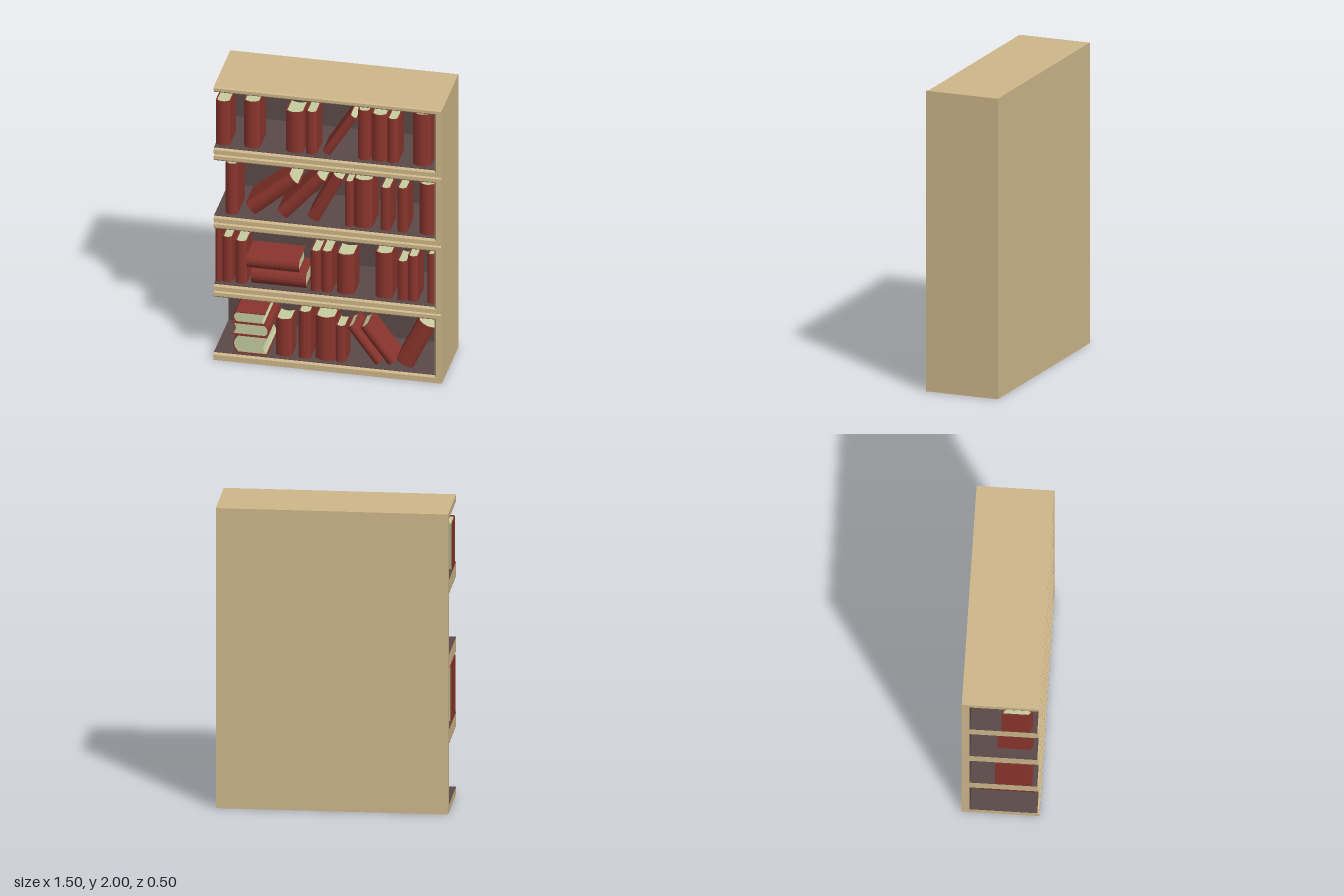
import * as THREE from 'three';

const wood = new THREE.MeshStandardMaterial({ name: 'wood', color: 0xcfb78a });
const lining = new THREE.MeshStandardMaterial({ name: 'darkLining', color: 0x5a4a49 });
const red = new THREE.MeshStandardMaterial({ name: 'redCover', color: 0x8a352d });
const paper = new THREE.MeshStandardMaterial({ name: 'paper', color: 0xc6ce9f });

const BAYS = [0, 0.5, 1, 1.5];

function add(parent, name, geometry, material) {
  const mesh = new THREE.Mesh(geometry, material);
  mesh.name = name;
  parent.add(mesh);
  return mesh;
}

// Box given by its two opposite corners
function block(parent, name, material, x0, x1, y0, y1, z0, z1) {
  const g = new THREE.BoxGeometry(x1 - x0, y1 - y0, z1 - z0);
  g.translate((x0 + x1) / 2, (y0 + y1) / 2, (z0 + z1) / 2);
  return add(parent, name, g, material);
}

function polygon(points) {
  return new THREE.Shape(points.map(([a, b]) => new THREE.Vector2(a, b)));
}

// Shelf board: a (z, y) profile with a moulded front edge, run along x
function board(parent, name, points) {
  const g = new THREE.ExtrudeGeometry(polygon(points), { depth: 1.495, bevelEnabled: false });
  g.rotateY(-Math.PI / 2).translate(0.745, 0, 0);
  add(parent, name, g, wood);
}

// Plan shape (x, z) raised to a height, standing on y = 0
function raise(shape, height) {
  const g = new THREE.ExtrudeGeometry(shape, { depth: height, bevelEnabled: false, curveSegments: 6 });
  return g.rotateX(Math.PI / 2).translate(0, height, 0);
}

// Book standing on its bottom edge, with the rounded spine at z = 0 facing +z
function makeBook(t, h, d = 0.62 * h) {
  const book = new THREE.Group();
  book.name = 'book';
  const c = 0.006, bulge = 0.22 * t, w = t / 2, i = w - c;

  const cover = new THREE.Shape();
  cover.moveTo(-w, -d);
  cover.lineTo(-i, -d);
  cover.lineTo(-i, -bulge - c);
  cover.quadraticCurveTo(0, bulge - c, i, -bulge - c);
  cover.lineTo(i, -d);
  cover.lineTo(w, -d);
  cover.lineTo(w, -bulge);
  cover.quadraticCurveTo(0, bulge, -w, -bulge);
  add(book, 'cover', raise(cover, h), red);

  // Page block with a hollow fore edge
  const pages = new THREE.Shape();
  pages.moveTo(-i, -d + 0.008);
  pages.quadraticCurveTo(0, -d + 0.008 + bulge * 1.6, i, -d + 0.008);
  pages.lineTo(i, -bulge - c);
  pages.quadraticCurveTo(0, bulge - c, -i, -bulge - c);
  add(book, 'pages', raise(pages, h - 0.016).translate(0, 0.008, 0), paper);
  return book;
}

// Upright books per bay: left x, right x, height
const UPRIGHT = [
  [[-0.355, -0.25, 0.27], [-0.205, -0.125, 0.34], [-0.095, 0.035, 0.315], [0.04, 0.105, 0.265]],
  [[-0.75, -0.71, 0.39], [-0.705, -0.64, 0.33], [-0.62, -0.545, 0.31], [-0.125, -0.06, 0.295],
    [-0.055, 0.015, 0.3], [0.045, 0.16, 0.29], [0.3, 0.41, 0.33], [0.445, 0.51, 0.285],
    [0.515, 0.58, 0.33], [0.645, 0.69, 0.36]],
  [[-0.685, -0.605, 0.37], [0.1, 0.155, 0.33], [0.157, 0.28, 0.35], [0.335, 0.4, 0.31],
    [0.445, 0.51, 0.32], [0.59, 0.69, 0.365]],
  [[-0.75, -0.655, 0.32], [-0.565, -0.46, 0.34], [-0.29, -0.175, 0.295], [-0.155, -0.085, 0.31],
    [0.185, 0.265, 0.36], [0.275, 0.375, 0.34], [0.38, 0.45, 0.32], [0.545, 0.665, 0.375]],
];

// Tilted books: foot centre x, y, thickness, height, tilt to the +x side in degrees
const TILTED = [
  [0.323, 0.075, 0.055, 0.31, -36.5], [0.412, 0.085, 0.065, 0.31, -36.5], [0.49, 0.08, 0.12, 0.34, 25.5],
  [-0.545, 0.715, 0.09, 0.345, 90], [-0.515, 0.613, 0.11, 0.36, 90],
  [-0.52, 1.102, 0.1, 0.375, 49], [-0.312, 1.088, 0.085, 0.39, 41], [-0.11, 1.077, 0.08, 0.365, 27],
  [-0.022, 1.57, 0.055, 0.34, 32],
];

// Lying pile, page ends to the front: bottom y, thickness, x0, x1, spine side
const PILE = [
  [0.054, 0.132, -0.63, -0.405, -1],
  [0.186, 0.088, -0.635, -0.395, 1],
  [0.274, 0.08, -0.63, -0.42, -1],
];

export function createModel() {
  const model = new THREE.Group();
  model.name = 'bookcase';

  // Carcass
  const frame = new THREE.Group();
  frame.name = 'frame';
  model.add(frame);
  block(frame, 'backPanel', wood, -0.75, 0.75, 0, 2, -0.25, -0.2);
  block(frame, 'sidePanel', wood, 0.704, 0.745, 0, 2, -0.25, 0.235);
  block(frame, 'sideFace', wood, 0.745, 0.75, 0, 2, -0.25, 0.25);

  board(frame, 'bottomBoard', [[-0.25, 0], [0.25, 0], [0.25, 0.038], [0.238, 0.05], [-0.25, 0.05]]);
  board(frame, 'topBoard', [[-0.25, 1.96], [0.24, 1.96], [0.25, 1.97], [0.25, 1.99], [0.24, 2], [-0.25, 2]]);
  for (const y of BAYS.slice(1)) {
    board(frame, 'shelf', [[-0.25, y - 0.04], [0.24, y - 0.04], [0.25, y - 0.03], [0.25, y - 0.006],
      [0.236, y], [0.236, y + 0.01], [0.25, y + 0.016], [0.25, y + 0.038], [0.238, y + 0.05], [-0.25, y + 0.05]]);
  }

  for (const y of BAYS) {
    // Moulded front post of the side
    const post = raise(polygon([[0.7, 0.2], [0.745, 0.2], [0.745, 0.25], [0.712, 0.25], [0.7, 0.238]]), 0.44);
    add(frame, 'frontPost', post.translate(0, y + 0.035, 0), wood);
    // Dark inside faces
    block(frame, 'backLining', lining, -0.75, 0.704, y + 0.05, y + 0.46, -0.2, -0.196);
    block(frame, 'floorLining', lining, -0.75, 0.704, y + 0.05, y + 0.053, -0.2, 0.236);
    block(frame, 'ceilingLining', lining, -0.75, 0.704, y + 0.457, y + 0.46, -0.2, 0.236);
    block(frame, 'sideLining', lining, 0.698, 0.704, y + 0.05, y + 0.46, -0.2, 0.236);
  }

  // Books
  const books = new THREE.Group();
  books.name = 'books';
  model.add(books);
  UPRIGHT.forEach((row, k) => {
    for (const [x0, x1, h] of row) {
      const book = makeBook(x1 - x0, h);
      book.position.set((x0 + x1) / 2, BAYS[k] + 0.053, 0.205);
      books.add(book);
    }
  });
  for (const [x, y, t, h, tilt] of TILTED) {
    const book = makeBook(t, h);
    book.position.set(x, y, 0.205);
    book.rotation.z = -THREE.MathUtils.degToRad(tilt);
    books.add(book);
  }
  for (const [y, t, x0, x1, side] of PILE) {
    const book = makeBook(t, 0.35, x1 - x0);
    // Height runs along z, thickness along y, spine towards side
    book.setRotationFromMatrix(new THREE.Matrix4().makeBasis(
      new THREE.Vector3(0, side, 0), new THREE.Vector3(0, 0, 1), new THREE.Vector3(side, 0, 0)));
    book.position.set(side > 0 ? x1 : x0, y + t / 2, -0.13);
    books.add(book);
  }
  return model;
}
